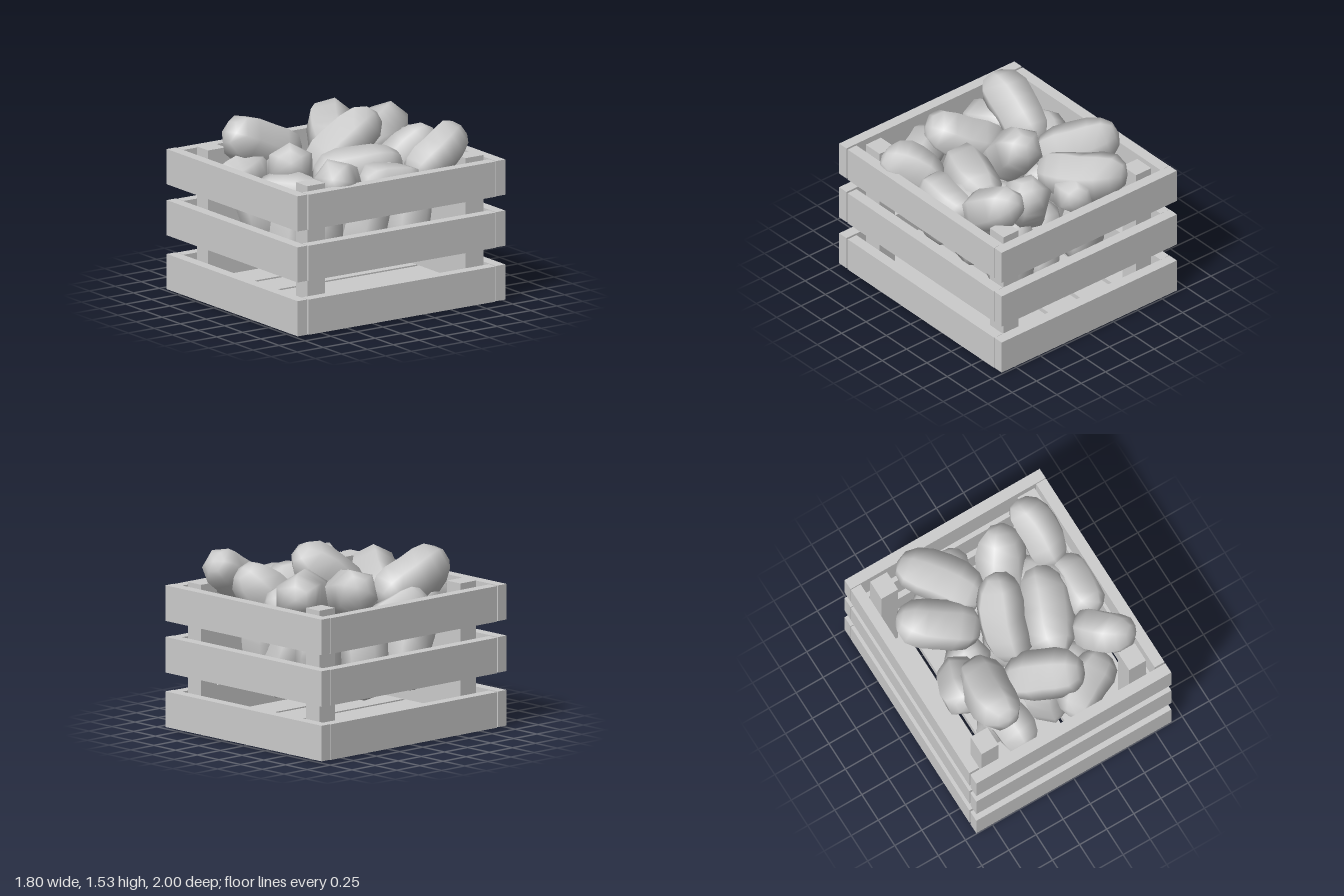
import * as THREE from 'three';
import { mergeVertices } from 'three/addons/utils/BufferGeometryUtils.js';

const wood = new THREE.MeshStandardMaterial({ color: 0xcccccc, flatShading: true });
const skin = new THREE.MeshStandardMaterial({ color: 0xcccccc });

function board(name, w, h, d, x, y, z) {
  const mesh = new THREE.Mesh(new THREE.BoxGeometry(w, h, d), wood);
  mesh.name = name;
  mesh.position.set(x, y, z);
  return mesh;
}

// Six-sided blunt-ended tuber along y, slightly waisted and lumpy; seed varies the lumps
function potatoGeometry(length, width, seed) {
  let geo = new THREE.SphereGeometry(1, 6, 8);
  geo.deleteAttribute('normal');
  geo.deleteAttribute('uv');
  geo = mergeVertices(geo, 1e-4);
  geo.rotateY(seed);
  const pos = geo.attributes.position;
  const v = new THREE.Vector3();
  for (let i = 0; i < pos.count; i++) {
    v.fromBufferAttribute(pos, i);
    const t = Math.min(Math.abs(v.y), 0.999);
    const blunt = Math.sqrt((1 - t ** 3.2) / (1 - t * t));
    const lump = 1 + 0.04 * Math.sin(3 * v.x + 2 * v.y + seed) + 0.03 * Math.sin(4 * v.z - 3 * v.y + seed * 2.3);
    const r = blunt * lump * (0.96 + 0.07 * t) * width / 2;
    const bend = 0.015 * Math.cos(v.y * 3 + seed);
    pos.setXYZ(i, v.x * r + bend, v.y * length / 2, v.z * r);
  }
  geo.computeVertexNormals();
  return geo;
}

function potato(x, y, z, dx, dy, dz, length, width, seed) {
  const mesh = new THREE.Mesh(potatoGeometry(length, width, seed), skin);
  mesh.name = 'potato';
  mesh.position.set(x, y, z);
  mesh.quaternion.setFromUnitVectors(new THREE.Vector3(0, 1, 0), new THREE.Vector3(dx, dy, dz).normalize());
  return mesh;
}

export function createModel() {
  const model = new THREE.Group();
  model.name = 'potatoCrate';

  const crate = new THREE.Group();
  crate.name = 'crate';
  model.add(crate);

  // Three rows of slats on each wall
  for (const y of [0.158, 0.597, 1.013]) {
    crate.add(board('frontSlat', 1.8, 0.287, 0.09, 0, y, 0.955));
    crate.add(board('backSlat', 1.8, 0.287, 0.09, 0, y, -0.955));
    for (const s of [-1, 1]) {
      crate.add(board('sideSlat', 0.09, 0.287, 1.8, s * 0.855, y - 0.003, -0.005));
    }
  }
  // Floor slats
  for (let i = -2; i <= 2; i++) {
    crate.add(board('floorSlat', 0.29, 0.08, 1.8, i * 0.325 - 0.008, 0.04, -0.01));
  }
  // Corner posts
  for (const x of [-0.663, 0.698]) {
    for (const z of [-0.79, 0.735]) {
      crate.add(board('cornerPost', 0.155, 1.15, 0.17, x, 0.61, z));
    }
  }

  const pile = new THREE.Group();
  pile.name = 'potatoes';
  model.add(pile);

  // Upper heap: centre, axis direction, length
  const heap = [
    [-0.26, 1.19, -0.6, 0.57, -0.1, 0.8, 0.74],
    [-0.47, 1.2, -0.285, -0.8, 0.33, -0.55, 0.7],
    [0.0, 1.22, -0.06, 0.24, 0.8, -0.85, 0.76],
    [0.35, 1.1, 0.03, 0.3, 0.12, -0.94, 0.74],
    [0.045, 1.12, 0.48, 0.82, 0.35, 0.5, 0.67],
    [-0.425, 1.21, 0.42, -0.05, 0.42, 0.92, 0.72],
    [0.24, 1.07, -0.48, 0.35, 1.15, -0.9, 0.72],
    [0.61, 1.21, -0.54, -0.12, 0.55, -0.88, 0.62],
    [0.67, 1.05, -0.05, 0.05, 0.1, 1, 0.56],
    [0.63, 1.11, 0.41, 0.6, 0.4, 0.7, 0.54],
    [0.31, 0.99, 0.68, 0.8, 0.15, -0.5, 0.59],
    [-0.38, 1.0, 0.64, 0.15, -0.3, 0.9, 0.54],
    [-0.55, 0.98, 0.17, -0.2, 0.5, 0.8, 0.53],
    [-0.16, 1.07, -0.57, 0.3, 0.3, -0.8, 0.54],
    [0.48, 1.0, -0.23, 0.3, 0.3, 0.8, 0.56],
  ];
  heap.forEach(([x, y, z, dx, dy, dz, length], i) => {
    const width = i < 7 ? 0.42 : 0.37;
    pile.add(potato(x, y, z, dx, dy, dz, length, width, i * 1.7));
  });

  // Lower layer standing upright, each shifted and leaning a little
  [-0.36, 0.06, 0.35].forEach((x, i) => {
    [0.42, -0.03, -0.5].forEach((z, j) => {
      const k = i * 3 + j;
      const shift = 0.05 * Math.sin(k * 2.5 + 1);
      pile.add(potato(x, 0.63, z + shift, 0.2 * Math.sin(k * 2.1), 1, 0.25 * Math.cos(k * 1.3), 0.68, 0.39, k * 2.9));
    });
  });

  return model;
}
